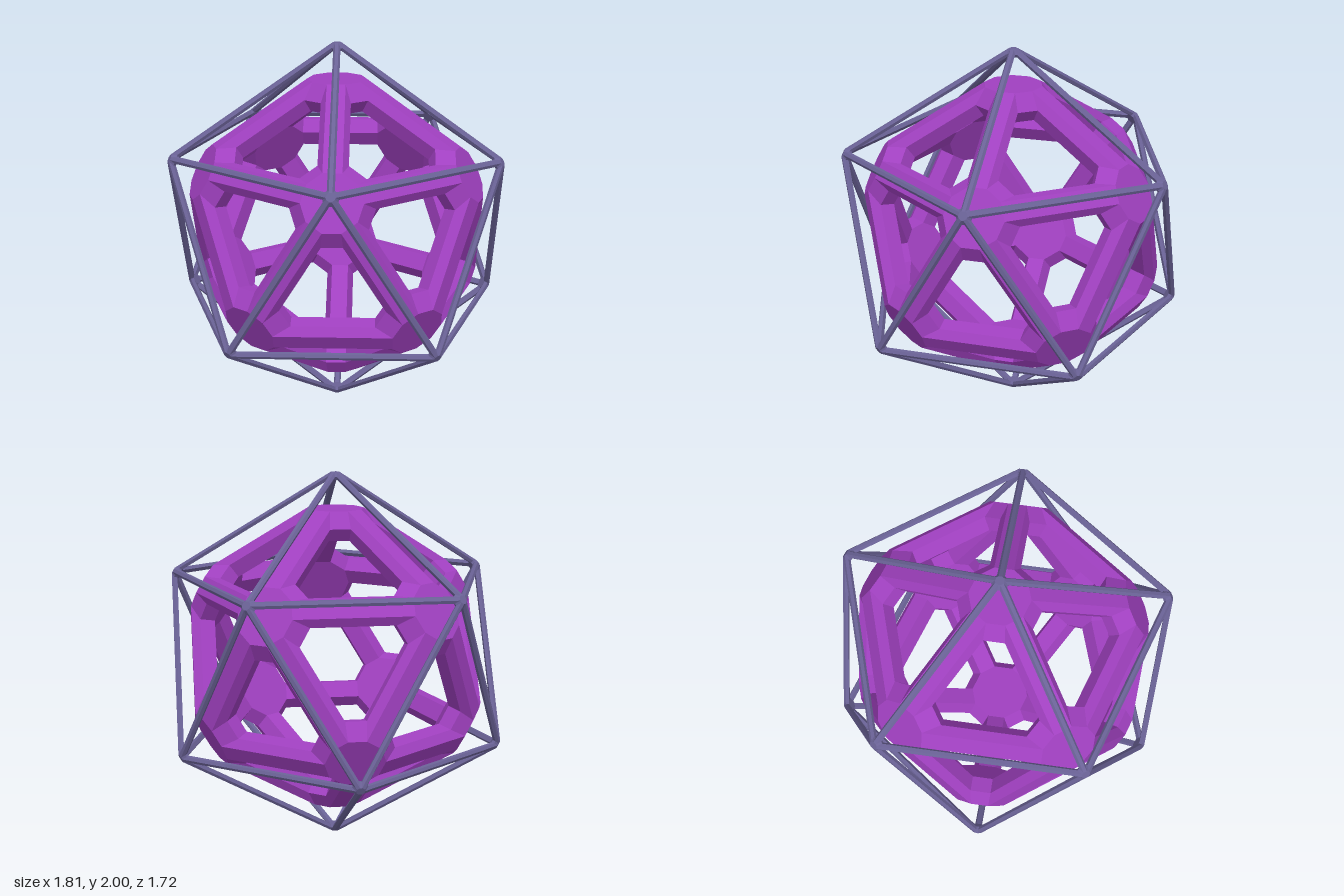
import * as THREE from 'three';

// The 12 icosahedron directions, one pointing straight up
function icosahedronDirections() {
  const dirs = [new THREE.Vector3(0, 1, 0), new THREE.Vector3(0, -1, 0)];
  const s = 1 / Math.sqrt(5);
  for (let i = 0; i < 5; i++) {
    for (const [offset, y] of [[0, s], [0.5, -s]]) {
      const a = (i + offset) * Math.PI * 0.4;
      dirs.push(new THREE.Vector3(2 * s * Math.cos(a), y, 2 * s * Math.sin(a)));
    }
  }
  return dirs;
}

const DIRS = icosahedronDirections();
const near = (i, j) => i !== j && DIRS[i].dot(DIRS[j]) > 0.4;

// One corner of the six-sided window in face (v, w, x): beside hub v, on the beam towards w.
// level: n = distance from the centre, a = distance to beam sides, b = distance to hub sides
function corner(v, w, x, { n, a, b }) {
  const [V, W, X] = [v, w, x].map((i) => DIRS[i]);
  const f = V.clone().add(W).add(X).normalize();
  const d = V.clone().addScaledVector(f, -V.dot(f)).normalize();
  const t = W.clone().sub(X).normalize();
  return f.multiplyScalar(n).addScaledVector(d, b).addScaledVector(t, (2 * a - b) / Math.sqrt(3));
}

// Icosahedral lattice; levels run from the outer skin to the inner skin
function latticeGeometry(levels) {
  const positions = [];
  // flat polygon, turned so that it faces along "facing"
  const polygon = (pts, facing) => {
    const normal = new THREE.Vector3();
    for (let i = 0; i < pts.length; i++) {
      normal.add(pts[i].clone().cross(pts[(i + 1) % pts.length]));
    }
    const p = normal.dot(facing) < 0 ? pts.slice().reverse() : pts;
    for (let i = 1; i < p.length - 1; i++) {
      for (const q of [p[0], p[i], p[i + 1]]) positions.push(q.x, q.y, q.z);
    }
  };
  const skins = [[levels[0], 1], [levels[levels.length - 1], -1]];

  for (let v = 0; v < 12; v++) {
    const neighbours = DIRS.map((_, i) => i).filter((i) => near(v, i));
    // ten-sided hub plates, corners sorted around the hub axis
    const e1 = DIRS[neighbours[0]].clone().addScaledVector(DIRS[v], -DIRS[neighbours[0]].dot(DIRS[v])).normalize();
    const e2 = DIRS[v].clone().cross(e1);
    const angle = (p) => Math.atan2(p.dot(e2), p.dot(e1));
    for (const [level, sign] of skins) {
      const ring = [];
      for (const w of neighbours) {
        for (const x of neighbours) if (near(w, x)) ring.push(corner(v, w, x, level));
      }
      ring.sort((p, q) => angle(p) - angle(q));
      polygon(ring, DIRS[v].clone().multiplyScalar(sign));
    }

    for (const w of neighbours) {
      const sides = neighbours.filter((x) => near(w, x));
      // outer and inner flats of each beam
      if (v < w) {
        const [x, y] = sides;
        for (const [level, sign] of skins) {
          polygon(
            [corner(v, w, x, level), corner(w, v, x, level), corner(w, v, y, level), corner(v, w, y, level)],
            DIRS[v].clone().add(DIRS[w]).multiplyScalar(sign)
          );
        }
      }
      // window walls along the beams and across the hubs
      for (const x of sides) {
        const axis = DIRS[v].clone().add(DIRS[w]).add(DIRS[x]).normalize();
        for (let k = 0; k < levels.length - 1; k++) {
          const [o, i] = [levels[k], levels[k + 1]];
          const wall = (p, q) => {
            const pts = [corner(...p, o), corner(...q, o), corner(...q, i), corner(...p, i)];
            const mid = pts.reduce((s, c) => s.add(c), new THREE.Vector3()).divideScalar(4);
            polygon(pts, axis.clone().multiplyScalar(mid.dot(axis)).sub(mid));
          };
          if (v < w) wall([v, w, x], [w, v, x]);
          if (w < x) wall([v, w, x], [v, x, w]);
        }
      }
    }
  }
  const geometry = new THREE.BufferGeometry();
  geometry.setAttribute('position', new THREE.Float32BufferAttribute(positions, 3));
  geometry.computeVertexNormals();
  return geometry;
}

export function createModel() {
  const group = new THREE.Group();
  group.name = 'nestedLattice';
  const add = (name, color, levels) => {
    const material = new THREE.MeshStandardMaterial({ color, flatShading: true });
    const mesh = new THREE.Mesh(latticeGeometry(levels), material);
    mesh.name = name;
    mesh.position.y = 1;
    group.add(mesh);
  };

  // heavy inner lattice: chamfered windows with straight inner walls
  add('innerLattice', 0xa040c0, [
    { n: 0.733, a: 0.228, b: 0.375 },
    { n: 0.7, a: 0.185, b: 0.277 },
    { n: 0.616, a: 0.185, b: 0.277 },
  ]);

  // thin outer cage of rods
  add('outerCage', 0x6a6296, [
    { n: 0.8083, a: 0.2992, b: 0.589 },
    { n: 0.799, a: 0.285, b: 0.56 },
    { n: 0.7814, a: 0.2857, b: 0.5586 },
  ]);
  return group;
}
